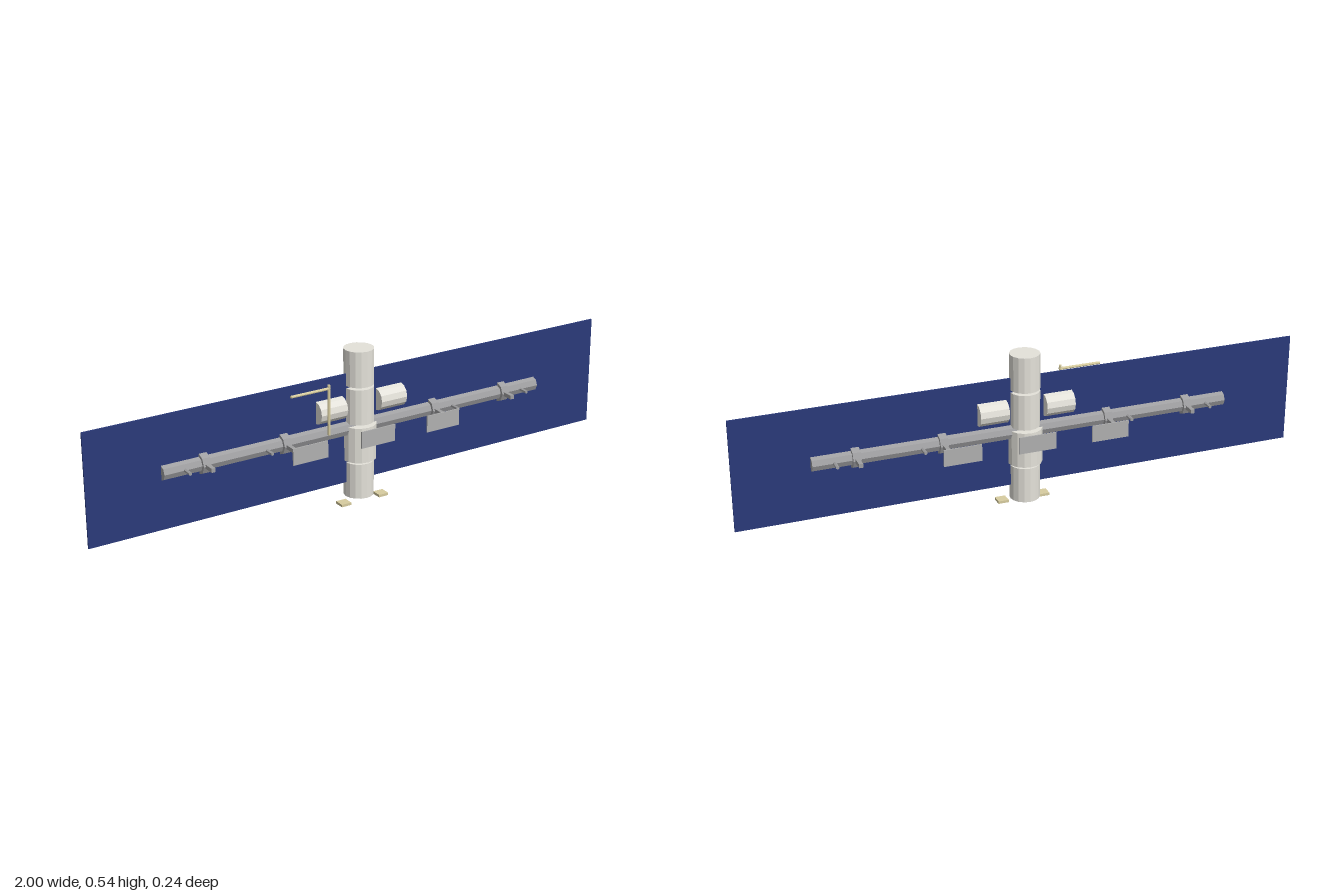
import * as THREE from 'three';

const mat = (color) => new THREE.MeshStandardMaterial({ color, flatShading: true });

export function createModel() {
  const group = new THREE.Group();
  const white = mat(0xe4e2da), metal = mat(0xa0a0a2), blue = mat(0x2a3a7a);
  const cream = mat(0xd8cda0), plate = mat(0xb0b0b0);

  const add = (name, geometry, material, x, y, z) => {
    const mesh = new THREE.Mesh(geometry, material);
    mesh.name = name;
    mesh.position.set(x, y, z);
    group.add(mesh);
    return mesh;
  };
  const box = (name, material, w, h, d, x, y, z) =>
    add(name, new THREE.BoxGeometry(w, h, d), material, x, y, z);
  // Cylinder lying along the given axis
  const rod = (name, material, r, length, sides, axis, x, y, z) => {
    const g = new THREE.CylinderGeometry(r, r, length, sides);
    if (axis === 'x') g.rotateZ(Math.PI / 2);
    if (axis === 'z') g.rotateX(Math.PI / 2);
    return add(name, g, material, x, y, z);
  };

  const trussY = 0.265;

  // Stack of core modules with narrow gaps between them
  [[0.079, 0.052], [0.2125, 0.06], [0.3455, 0.052], [0.4785, 0.052]].forEach(([y, r]) =>
    rod('coreModule', white, r, 0.125, 16, 'y', 0, y, 0));

  // Solar array
  box('solarPanel', blue, 2, 0.39, 0.005, 0, 0.264, 0);

  // Main truss
  rod('truss', metal, 0.026, 1.48, 8, 'x', 0, trussY, 0);

  for (const side of [-1, 1]) {
    // Side modules beside the core
    rod('sideModule', white, 0.04, 0.102, 12, 'x', side * 0.118, 0.345, 0);

    // Truss collars with their cross bars
    for (const x of [0.295, 0.592]) {
      rod('trussCollar', metal, 0.036, 0.028, 8, 'x', side * x, trussY, 0);
      box('collarBar', metal, 0.014, 0.014, 0.148, side * x, trussY, 0);
      rod('crossRod', metal, 0.006, 0.12, 6, 'z', side * (x + 0.074), trussY, 0);
    }

    // Radiator plates in front of and behind the truss
    for (const x of [-0.262, 0, 0.262])
      box('radiatorPlate', plate, 0.132, 0.059, 0.004, x, trussY, side * 0.119);

    // Small pads below the core
    box('basePad', cream, 0.037, 0.009, 0.037, side * 0.075, 0.0045, 0.0225);
  }

  // Jointed arm
  rod('armUpright', cream, 0.005, 0.175, 8, 'y', -0.15, 0.368, 0.053);
  rod('armBoom', cream, 0.005, 0.148, 8, 'x', -0.22, 0.443, 0.053);

  return group;
}
